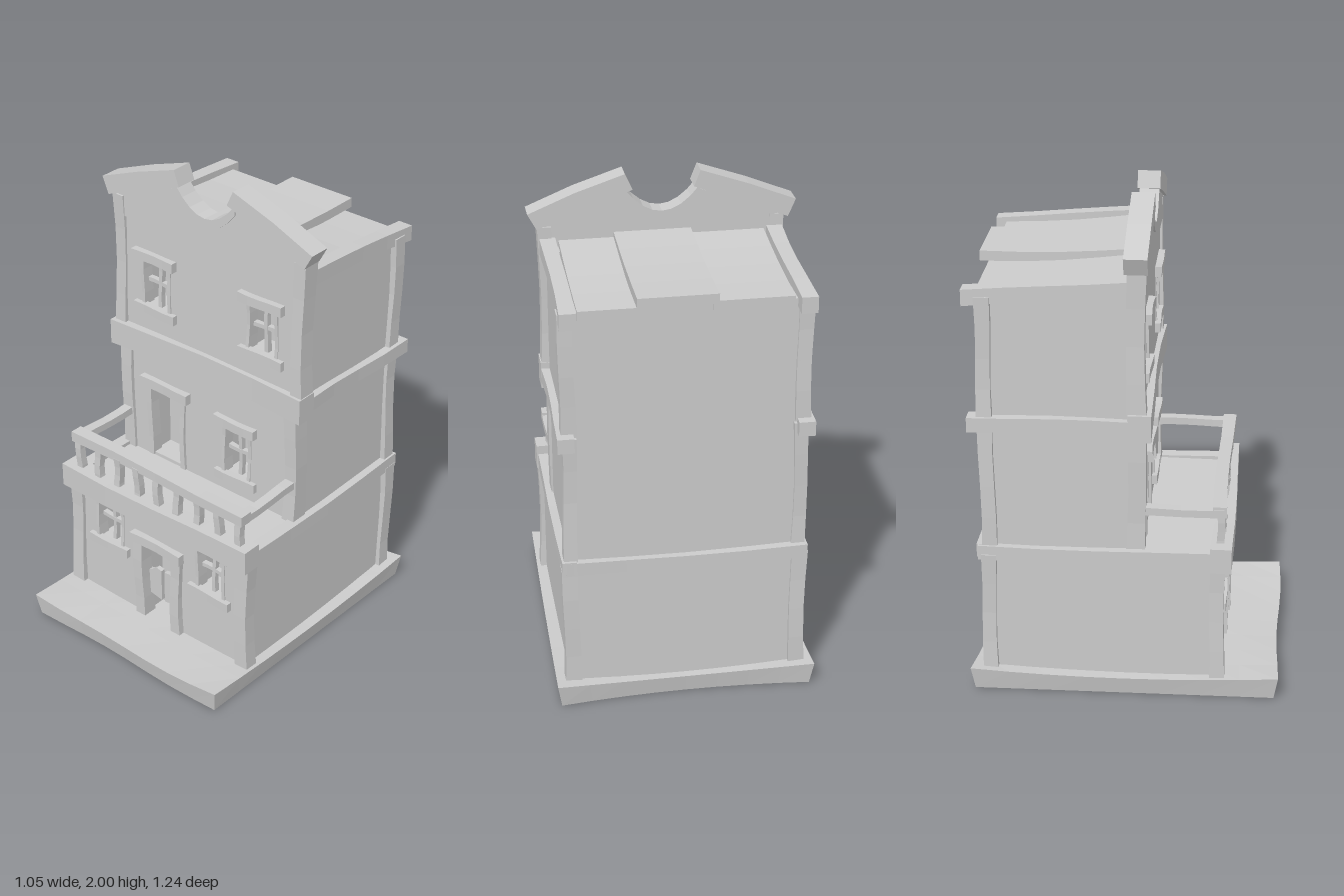
import * as THREE from 'three';

const mat = new THREE.MeshStandardMaterial({ color: 0xcccccc, flatShading: true });
const openMat = new THREE.MeshStandardMaterial({ color: 0xcccccc, flatShading: true, side: THREE.DoubleSide });
const AX = ['x', 'y', 'z'];

export function createModel() {
  const model = new THREE.Group();
  model.name = 'frontierTownhouse';
  let seed = 1;

  const add = (name, geo, material = mat) => {
    const mesh = new THREE.Mesh(geo, material);
    mesh.name = name;
    model.add(mesh);
    return mesh;
  };

  // Plain box given by its bounds
  const block = (name, x0, x1, y0, y1, z0, z1) =>
    add(name, new THREE.BoxGeometry(x1 - x0, y1 - y0, z1 - z0)
      .translate((x0 + x1) / 2, (y0 + y1) / 2, (z0 + z1) / 2));

  // Hand-hewn timber: a box that swells and bends gently along its longest side
  const timber = (name, x0, x1, y0, y1, z0, z1, bend = 0.006) => {
    const size = [x1 - x0, y1 - y0, z1 - z0];
    const long = size.indexOf(Math.max(...size));
    const seg = [1, 1, 1];
    seg[long] = 4;
    const geo = new THREE.BoxGeometry(...size, ...seg);
    const p = geo.attributes.position, v = new THREE.Vector3();
    const s = seed++;
    for (let i = 0; i < p.count; i++) {
      v.fromBufferAttribute(p, i);
      const t = v[AX[long]] / size[long] * 2;
      AX.forEach((a, k) => {
        if (k === long) return;
        v[a] *= 0.92 + 0.08 * t * t;
        v[a] += bend * Math.sin(t * 2.4 + s * 1.7 + k * 2);
      });
      p.setXYZ(i, v.x, v.y, v.z);
    }
    geo.translate((x0 + x1) / 2, (y0 + y1) / 2, (z0 + z1) / 2);
    return add(name, geo);
  };

  // Outline in the xy plane given thickness in z
  const slab = (name, pts, z0, z1, holes = []) => {
    const shape = new THREE.Shape(pts.map(([x, y]) => new THREE.Vector2(x, y)));
    for (const [x0, x1, y0, y1] of holes) {
      shape.holes.push(new THREE.Path([[x0, y0], [x0, y1], [x1, y1], [x1, y0]]
        .map(([x, y]) => new THREE.Vector2(x, y))));
    }
    return add(name, new THREE.ExtrudeGeometry(shape, { depth: z1 - z0, bevelEnabled: false })
      .translate(0, 0, z0));
  };
  const rect = (x0, x1, y0, y1) => [[x0, y0], [x1, y0], [x1, y1], [x0, y1]];

  // Window fittings: glazing bars, stiles, lintel and sill; z is the wall face
  const windowTrim = ([x0, x1, y0, y1], z) => {
    const cx = (x0 + x1) / 2, cy = (y0 + y1) / 2;
    timber('windowBar', cx - 0.009, cx + 0.009, y0, y1, z - 0.045, z - 0.022, 0.002);
    timber('windowBar', x0, x1, cy - 0.009, cy + 0.009, z - 0.045, z - 0.022, 0.002);
    for (const x of [x0, x1]) timber('windowStile', x - 0.008, x + 0.008, y0, y1, z - 0.05, z + 0.006, 0.002);
    timber('windowLintel', x0 - 0.038, x1 + 0.038, y1 - 0.005, y1 + 0.037, z - 0.01, z + 0.028, 0.002);
    timber('windowSill', x0 - 0.038, x1 + 0.038, y0 - 0.03, y0 + 0.01, z - 0.01, z + 0.022, 0.002);
  };

  // Base: flared shell with sagging edges, open underneath
  const base = new THREE.BoxGeometry(1, 0.1, 1.24, 8, 1, 8).translate(0, 0.05, 0);
  const { start, count } = base.groups[3];
  base.setIndex([...base.index.array].filter((_, i) => i < start || i >= start + count));
  base.clearGroups();
  const bp = base.attributes.position;
  for (let i = 0; i < bp.count; i++) {
    let x = bp.getX(i), y = bp.getY(i), z = bp.getZ(i);
    const u = x / 0.5, w = z / 0.62;
    x *= 1.02 - 0.02 * w;
    if (w < 0) z += 0.03 * (1 - u * u) * -w;
    else z -= 0.012 * w * (0.5 + 0.5 * Math.cos(u * 4 + 1));
    if (y > 0.05) y = 0.075 + 0.022 * Math.min(1, u * u * w * w);
    else { x *= 0.97; z *= 0.975; }
    bp.setXYZ(i, x, y, z);
  }
  add('base', base, openMat);

  // Ground floor
  const F1 = 0.38, F2 = 0.07, DEEP = 0.11, FLOOR = 0.06;
  const lowWindows = [[-0.342, -0.202, 0.355, 0.565], [0.208, 0.348, 0.355, 0.565]];
  block('groundFloor', -0.462, 0.462, FLOOR, 0.625, -0.555, F1 - DEEP);
  slab('groundFrontWall', [[-0.462, FLOOR], [-0.085, FLOOR], [-0.085, 0.445], [0.09, 0.445], [0.09, FLOOR],
    [0.462, FLOOR], [0.462, 0.625], [-0.462, 0.625]], F1 - DEEP, F1, lowWindows);
  lowWindows.forEach(w => windowTrim(w, F1));

  // Entrance: jambs, lintel and a pair of half doors
  timber('doorJamb', -0.122, -0.072, 0.07, 0.45, F1 - 0.04, F1 + 0.025, 0.004);
  timber('doorJamb', 0.078, 0.128, 0.07, 0.45, F1 - 0.04, F1 + 0.025, 0.004);
  timber('doorLintel', -0.135, 0.135, 0.44, 0.485, F1 - 0.02, F1 + 0.03, 0.003);
  for (const s of [-1, 1]) {
    const leaf = [[0.008, 0.165], [0.085, 0.18], [0.085, 0.29], [0.06, 0.3], [0.035, 0.32], [0.008, 0.315]]
      .map(([x, y]) => [x * s, y]);
    slab('halfDoor', leaf, F1 - 0.04, F1 - 0.02);
  }

  // Upper floors
  const balconyDoor = [-0.31, -0.135, 0.64, 0.97];
  const smallWindow = [0.085, 0.22, 0.71, 0.945];
  const highWindows = [[-0.342, -0.202, 1.34, 1.555], [0.208, 0.348, 1.34, 1.555]];
  block('upperFloors', -0.455, 0.455, 0.6, 1.68, -0.55, F2 - DEEP);
  slab('upperFrontWall', rect(-0.455, 0.455, 0.6, 1.715), F2 - DEEP, F2,
    [balconyDoor, smallWindow, ...highWindows]);
  [smallWindow, ...highWindows].forEach(w => windowTrim(w, F2));
  timber('balconyDoorLintel', -0.35, -0.095, 0.965, 1.01, F2 - 0.02, F2 + 0.03, 0.002);
  timber('balconyDoorJamb', -0.325, -0.3, 0.63, 0.97, F2 - 0.04, F2 + 0.012, 0.003);
  timber('balconyDoorJamb', -0.147, -0.122, 0.63, 0.97, F2 - 0.04, F2 + 0.012, 0.003);

  // Corner posts, side bands and eaves, mirrored left and right
  for (const s of [-1, 1]) {
    const side = (name, a, b, ...rest) =>
      timber(name, Math.min(a * s, b * s), Math.max(a * s, b * s), ...rest);
    side('cornerPost', 0.42, 0.485, 0.07, 0.6, 0.34, 0.4, 0.004);
    side('cornerPost', 0.42, 0.485, 0.07, 0.6, -0.57, -0.51, 0.004);
    side('cornerPost', 0.405, 0.465, 0.62, 1.15, 0.01, 0.085, 0.004);
    side('cornerPost', 0.42, 0.475, 0.62, 1.17, -0.565, -0.505, 0.004);
    side('cornerPost', 0.43, 0.485, 1.2, 1.8, 0.01, 0.085, 0.004);
    side('cornerPost', 0.42, 0.48, 1.18, 1.68, -0.565, -0.505, 0.004);
    side('groundSideBand', 0.43, 0.487, 0.578, 0.64, -0.58, 0.36, 0.004);
    side('middleSideBand', 0.425, 0.49, 1.135, 1.195, -0.605, 0.03, 0.005);
    const eave = side('eaveBeam', 0.415, 0.478, 1.665, 1.73, -0.61, 0.02, 0.003);
    // Eaves fall toward the back
    const q = eave.geometry.attributes.position;
    for (let i = 0; i < q.count; i++) q.setY(i, q.getY(i) + 0.08 * (q.getZ(i) + 0.3));
    // Balcony side rail
    side('sideRail', 0.415, 0.46, 0.787, 0.82, 0.05, 0.39, 0.003);
  }
  timber('groundBackBand', -0.47, 0.47, 0.58, 0.637, -0.582, -0.53, 0.004);
  timber('groundFrontBand', -0.5, 0.49, 0.57, 0.675, 0.34, 0.425, 0.006);
  timber('middleFrontBand', -0.5, 0.49, 1.12, 1.23, 0.01, 0.1, 0.007);

  // Balcony front rail and balusters
  timber('frontRail', -0.46, 0.46, 0.785, 0.83, 0.345, 0.4, 0.005);
  for (let i = 0; i < 9; i++) {
    const x = -0.43 + i * 0.86 / 8;
    timber('baluster', x - 0.016, x + 0.016, 0.64, 0.8, 0.362, 0.394, 0.003);
  }

  // Roof: three overlapping panels falling toward the back, the middle one raised
  for (const [x0, x1, front, back, rear] of [
    [-0.406, -0.1, 1.74, 1.695, -0.56], [0.17, 0.406, 1.74, 1.69, -0.565], [-0.115, 0.19, 1.762, 1.738, -0.594]]) {
    const geo = new THREE.BoxGeometry(x1 - x0, 0.04, -rear + 0.02, 2, 1, 4)
      .translate((x0 + x1) / 2, -0.02, (rear + 0.02) / 2);
    const p = geo.attributes.position;
    for (let i = 0; i < p.count; i++) {
      const t = p.getZ(i) / rear;
      p.setY(i, p.getY(i) + front + (back - front) * t - 0.01 * Math.sin(Math.max(0, t) * Math.PI));
    }
    add('roofPanel', geo);
  }

  // False front gable with a scooped centre
  const scoop = off => Array.from({ length: 9 }, (_, i) => {
    const x = 0.15 - 0.3 * i / 8;
    return [x, 1.84 + off + 0.1 * (x / 0.15) ** 2];
  });
  slab('gable', [[-0.44, 1.712], [-0.15, 1.705], [0.44, 1.712], [0.46, 1.81], ...scoop(-0.02), [-0.46, 1.81]], 0.015, 0.08);
  slab('scoopTrim', [...scoop(0), ...scoop(-0.04).reverse()], 0.01, 0.088);
  slab('leftCornice', [[0.3, 1.87], [0.49, 1.793], [0.525, 1.858], [0.34, 1.935], [0.145, 2], [0.115, 1.935]], 0.003, 0.093);
  slab('rightCornice', [[-0.5, 1.79], [-0.3, 1.865], [-0.125, 1.935], [-0.15, 2], [-0.34, 1.935], [-0.53, 1.86]], 0.003, 0.093);

  return model;
}
